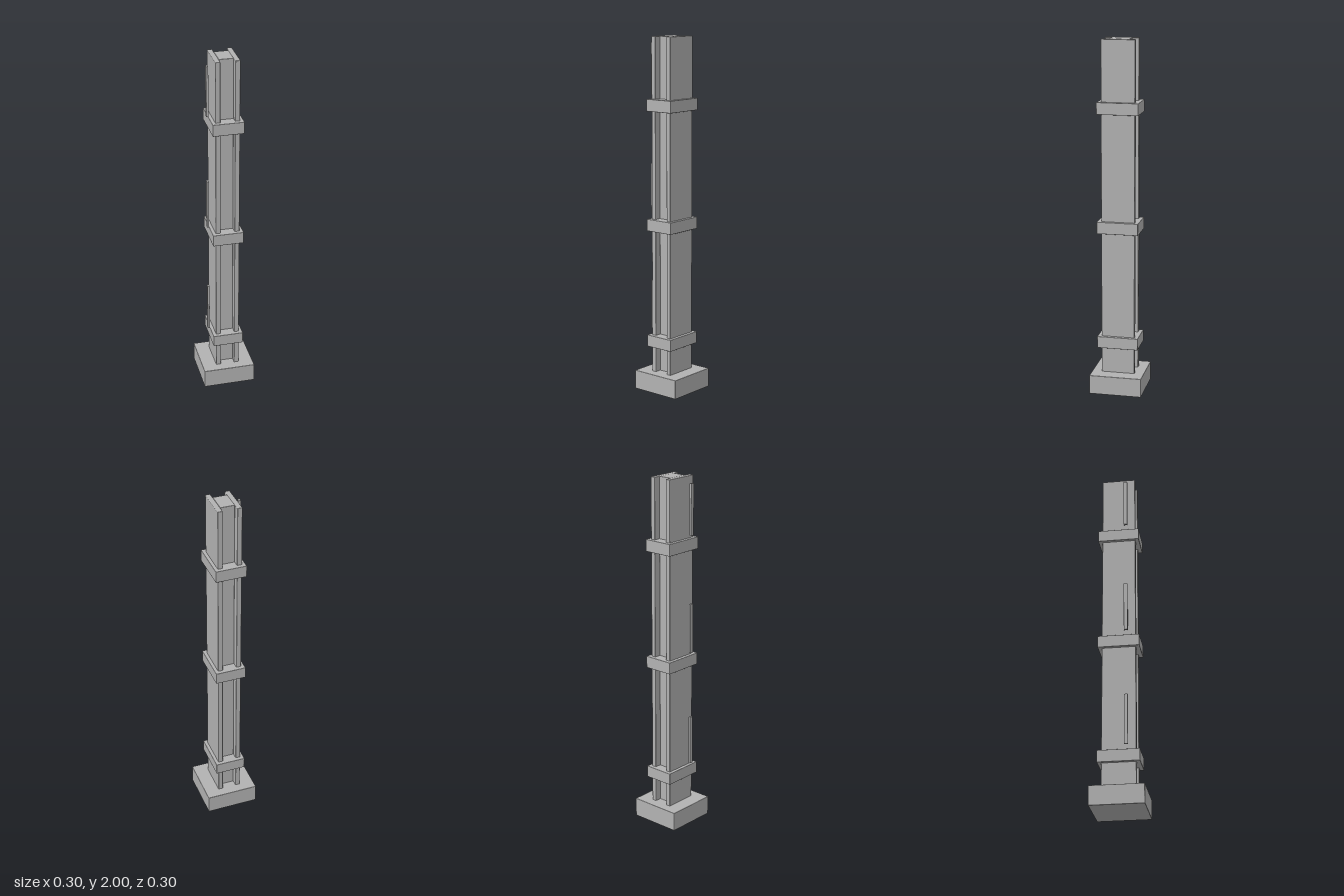
import * as THREE from 'three';
import { RoundedBoxGeometry } from 'three/addons/geometries/RoundedBoxGeometry.js';

export function createModel() {
  const group = new THREE.Group();
  const concrete = new THREE.MeshStandardMaterial({ color: 0xb2b2b2 });
  concrete.name = 'grey concrete';

  // Box with slightly softened edges, placed by its bottom height
  function block(name, w, h, d, x, bottom, z, bevel) {
    const mesh = new THREE.Mesh(new RoundedBoxGeometry(w, h, d, 2, bevel), concrete);
    mesh.name = name;
    mesh.position.set(x, bottom + h / 2, z);
    group.add(mesh);
  }

  // Square footing
  block('base', 0.298, 0.109, 0.298, 0, 0, 0, 0.003);

  // H-shaped column: a core between two flanges
  block('core', 0.08, 1.9, 0.115, 0, 0.1, 0, 0.003);
  for (const side of [-1, 1]) {
    block(side > 0 ? 'leftFlange' : 'rightFlange', 0.028, 1.9, 0.19, side * 0.0535, 0.1, 0, 0.004);
  }

  // Collars and the thin strips standing off the right side
  for (let i = 0; i < 3; i++) {
    const y = i * 0.668;
    block('collar' + (i + 1), 0.173, 0.067, 0.233, 0, 0.256 + y, 0, 0.002);
    block('sideStrip' + (i + 1), 0.012, 0.284, 0.021, -0.101, 0.345 + y, 0.044, 0.0005);
  }
  return group;
}
